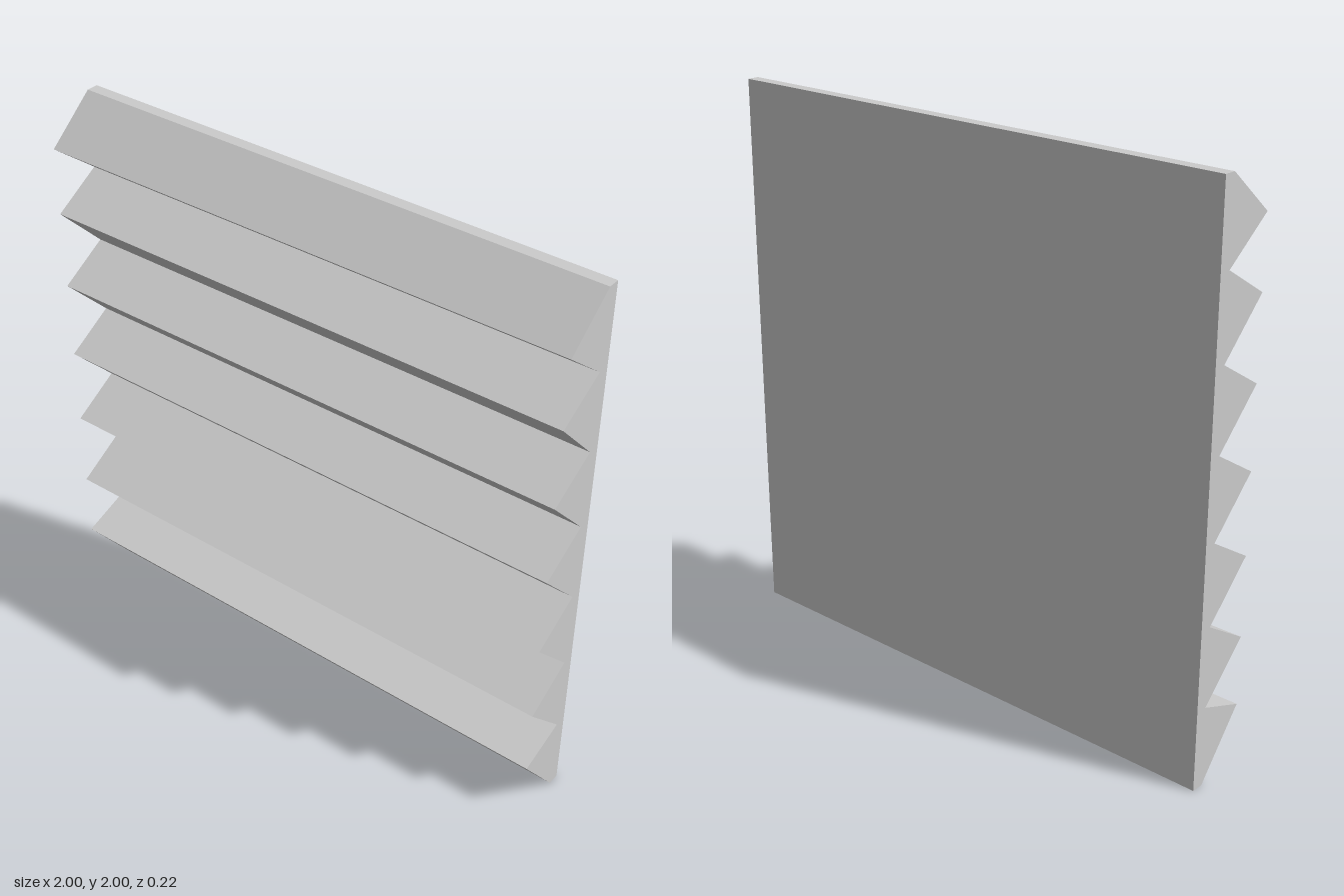
import * as THREE from 'three';

export function createModel() {
  const group = new THREE.Group();
  const material = new THREE.MeshStandardMaterial({ color: 0xcccccc, flatShading: true });

  const width = 2, height = 2;
  const back = -0.11, valley = -0.067, ridge = 0.11;
  // Ridge heights; the first and last ridges lean towards the middle
  const ridges = [0.22, 0.465, 0.75, 1.036, 1.322, 1.607, 1.851];
  const pitch = height / ridges.length;

  // Side profile: x is depth, y is height
  const profile = new THREE.Shape();
  profile.moveTo(back, 0);
  profile.lineTo(valley, 0);
  ridges.forEach((y, i) => {
    profile.lineTo(ridge, y);
    profile.lineTo(valley, (i + 1) * pitch);
  });
  profile.lineTo(back, height);
  profile.closePath();

  // Sweep the profile across the width, turning its depth towards +z
  const geometry = new THREE.ExtrudeGeometry(profile, { depth: width, bevelEnabled: false });
  geometry.translate(0, 0, -width / 2);
  geometry.rotateY(-Math.PI / 2);

  const panel = new THREE.Mesh(geometry, material);
  panel.name = 'ridgedPanel';
  group.add(panel);
  return group;
}
